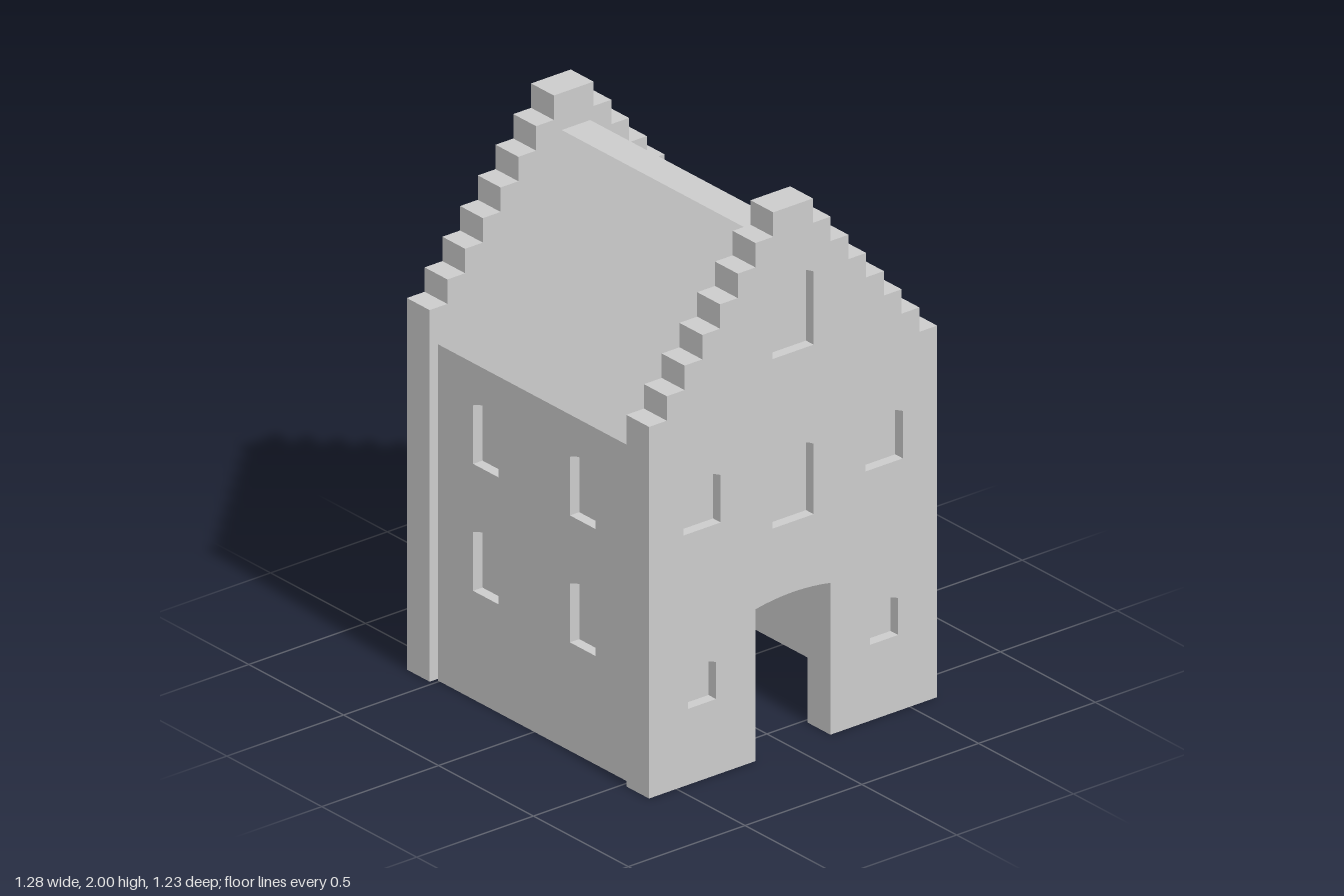
import * as THREE from 'three';

const GABLE_T = 0.12, WALL_T = 0.115, RECESS = 0.04;
const stone = new THREE.MeshStandardMaterial({ color: 0xcccccc });
stone.name = 'stone grey';

// Opening with a shallow curved head: centre u, sill, crown, half width, rise of the head
function archedOpening(Type, { u, sill, top, half, rise = 0.02 }) {
  const p = new Type();
  p.moveTo(u - half, sill);
  p.lineTo(u + half, sill);
  p.lineTo(u + half, top - rise);
  p.quadraticCurveTo(u, top + rise, u - half, top - rise);
  p.closePath();
  return p;
}

function extrude(shape, depth, name) {
  const geo = new THREE.ExtrudeGeometry(shape, { depth, bevelEnabled: false, curveSegments: 8 });
  const mesh = new THREE.Mesh(geo, stone);
  mesh.name = name;
  return mesh;
}

// Upright slab whose outer face (+z) carries recessed blind windows
function panel(shape, windows, depth, name) {
  const group = new THREE.Group();
  group.name = name;
  shape.holes = windows.map((w) => archedOpening(THREE.Path, w));
  group.add(extrude(shape, depth, name + 'Masonry'));
  for (const w of windows) {
    group.add(extrude(archedOpening(THREE.Shape, w), depth - RECESS, 'windowPane'));
  }
  return group;
}

// Stepped gable outline with the passage cut into its foot
function gableShape() {
  const s = new THREE.Shape();
  const steps = 8, rise = 0.09, run = 0.076, base = 1.37, half = 0.617;
  s.moveTo(0.16, 0);
  s.lineTo(half, 0);
  for (let i = 0; i < steps; i++) {
    s.lineTo(half - run * i, base + rise * i);
    if (i < steps - 1) s.lineTo(half - run * (i + 1), base + rise * i);
  }
  for (let i = steps - 1; i >= 0; i--) {
    s.lineTo(-(half - run * i), base + rise * i);
    if (i > 0) s.lineTo(-(half - run * i), base + rise * (i - 1));
  }
  s.lineTo(-half, 0);
  s.lineTo(-0.16, 0);
  s.lineTo(-0.16, 0.56);
  s.quadraticCurveTo(0, 0.59, 0.16, 0.56);
  s.closePath();
  return s;
}

export function createModel() {
  const model = new THREE.Group();
  model.name = 'steppedGableHouse';

  // Two stepped gable walls
  const gableWindows = [
    { u: 0, sill: 1.46, top: 1.755, half: 0.088, rise: 0.025 },
    { u: 0, sill: 0.835, top: 1.12, half: 0.088, rise: 0.025 },
  ];
  for (const side of [-1, 1]) {
    gableWindows.push({ u: side * 0.39, sill: 0.925, top: 1.12, half: 0.08, rise: 0.02 });
    gableWindows.push({ u: side * 0.39, sill: 0.28, top: 0.432, half: 0.06, rise: 0.016 });
  }
  for (const side of [-1, 1]) {
    const gable = panel(gableShape(), gableWindows, GABLE_T, side > 0 ? 'leftGable' : 'rightGable');
    gable.rotation.y = side * Math.PI / 2;
    gable.position.x = side * 0.518;
    model.add(gable);
  }

  // Front and back walls between the gables
  const L = 0.506, eave = 1.24;
  const wallWindows = [];
  for (const u of [-0.255, 0.255]) {
    for (const sill of [0.4, 0.868]) {
      wallWindows.push({ u, sill, top: sill + 0.234, half: 0.067, rise: 0.018 });
    }
  }
  for (const side of [-1, 1]) {
    const shape = new THREE.Shape([[-L, 0], [L, 0], [L, eave], [-L, eave]].map((p) => new THREE.Vector2(...p)));
    const wall = panel(shape, wallWindows, WALL_T, side > 0 ? 'frontWall' : 'backWall');
    wall.rotation.y = side > 0 ? 0 : Math.PI;
    wall.position.z = side * (0.59 - WALL_T);
    model.add(wall);
  }

  // Hollow pitched roof with a flat ridge
  const half = [[0.475, eave], [0.59, eave], [0.061, 1.87]];
  const inner = [0.04, 1.758];
  const profile = [
    ...half,
    ...half.slice().reverse().map(([z, y]) => [-z, y]),
    [-inner[0], inner[1]], inner,
  ];
  const roof = extrude(new THREE.Shape(profile.map((p) => new THREE.Vector2(...p))), 2 * L, 'roof');
  roof.rotation.y = Math.PI / 2;
  roof.position.x = -L;
  model.add(roof);

  return model;
}
